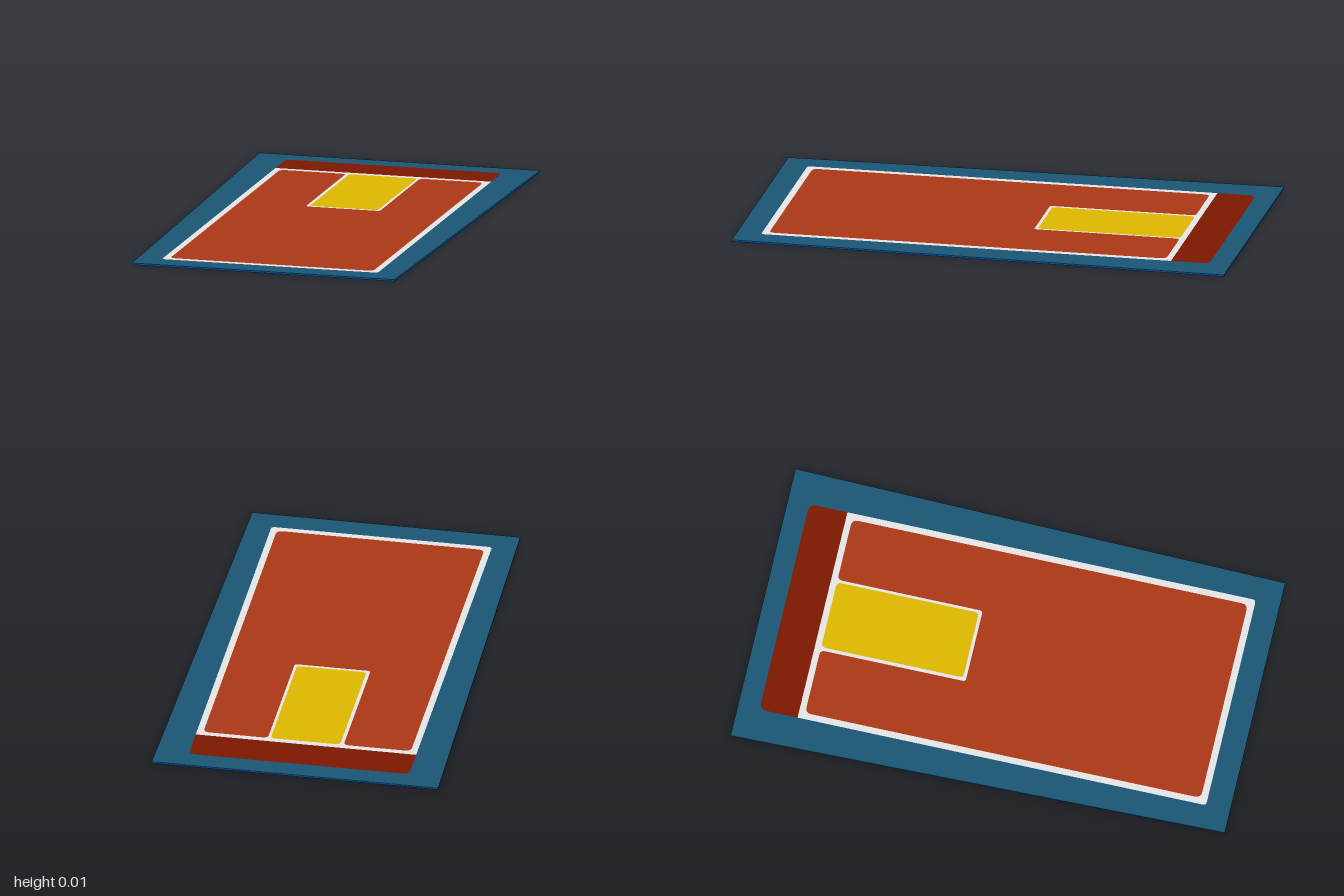
import * as THREE from 'three';

const BASE = 0.0065, PLATE = 0.0005;

const material = (name, color) => {
  const m = new THREE.MeshStandardMaterial({ color });
  m.name = name;
  return m;
};

// Closed outline from [x, z, cornerRadius] points, with z running down the plan
function outline(points, Type = THREE.Shape) {
  const path = new Type();
  const v = points.map(([x, z]) => new THREE.Vector2(x, -z));
  const n = v.length;
  v.forEach((p, i) => {
    const r = points[i][2] ?? 0;
    const toward = (q) => q.clone().sub(p).setLength(r).add(p);
    const a = toward(v[(i + n - 1) % n]);
    const b = toward(v[(i + 1) % n]);
    if (i === 0) path.moveTo(a.x, a.y);
    else path.lineTo(a.x, a.y);
    if (r > 0) path.quadraticCurveTo(p.x, p.y, b.x, b.y);
  });
  path.closePath();
  return path;
}

// Lay an outline flat as a thin plate, with optional cut-outs
function slab(name, points, mat, y, depth, holes = []) {
  const shape = outline(points);
  shape.holes = holes.map((h) => outline(h, THREE.Path));
  const geo = new THREE.ExtrudeGeometry(shape, { depth, bevelEnabled: false, curveSegments: 4 });
  geo.rotateX(-Math.PI / 2);
  const mesh = new THREE.Mesh(geo, mat);
  mesh.position.y = y;
  mesh.name = name;
  return mesh;
}

export function createModel() {
  const navy = material('navy underside', 0x0056ae);
  const teal = material('teal border', 0x1b5676);
  const red = material('brick red', 0xae3818);
  const darkRed = material('dark red', 0x7e1800);
  const yellow = material('mustard yellow', 0xe0b800);
  const white = material('line white', 0xececec);

  // Tapered outer edge, wider at the back
  const edge = [[-0.54, 1], [0.54, 1], [0.577, -1], [-0.577, -1]];
  const field = [[-0.444, 0.902, 0.015], [0.444, 0.902, 0.015], [0.444, -0.913, 0.03], [-0.444, -0.913, 0.03]];
  const band = [[-0.444, -0.758], [0.444, -0.758], [0.444, -0.913, 0.03], [-0.444, -0.913, 0.03]];
  const frame = [[-0.444, 0.902, 0.015], [0.444, 0.902, 0.015], [0.444, -0.758], [-0.444, -0.758]];
  const key = [[-0.133, -0.156, 0.015], [0.147, -0.156, 0.015], [0.147, -0.733, 0.02], [-0.133, -0.733, 0.02]];
  // Main area wraps around the lane marked by the key
  const court = [
    [-0.418, 0.875, 0.025], [0.418, 0.875, 0.025], [0.418, -0.733, 0.025], [0.158, -0.733, 0.02],
    [0.158, -0.143, 0.012], [-0.147, -0.143, 0.012], [-0.147, -0.733, 0.02], [-0.418, -0.733, 0.025],
  ];

  const model = new THREE.Group();
  model.name = 'floorMat';
  model.add(
    slab('base', edge, navy, 0, BASE),
    slab('border', edge, teal, BASE, PLATE, [field]),
    slab('backBand', band, darkRed, BASE, PLATE),
    slab('lines', frame, white, BASE, PLATE, [court, key]),
    slab('mainArea', court, red, BASE, PLATE),
    slab('keyArea', key, yellow, BASE, PLATE),
  );
  return model;
}
